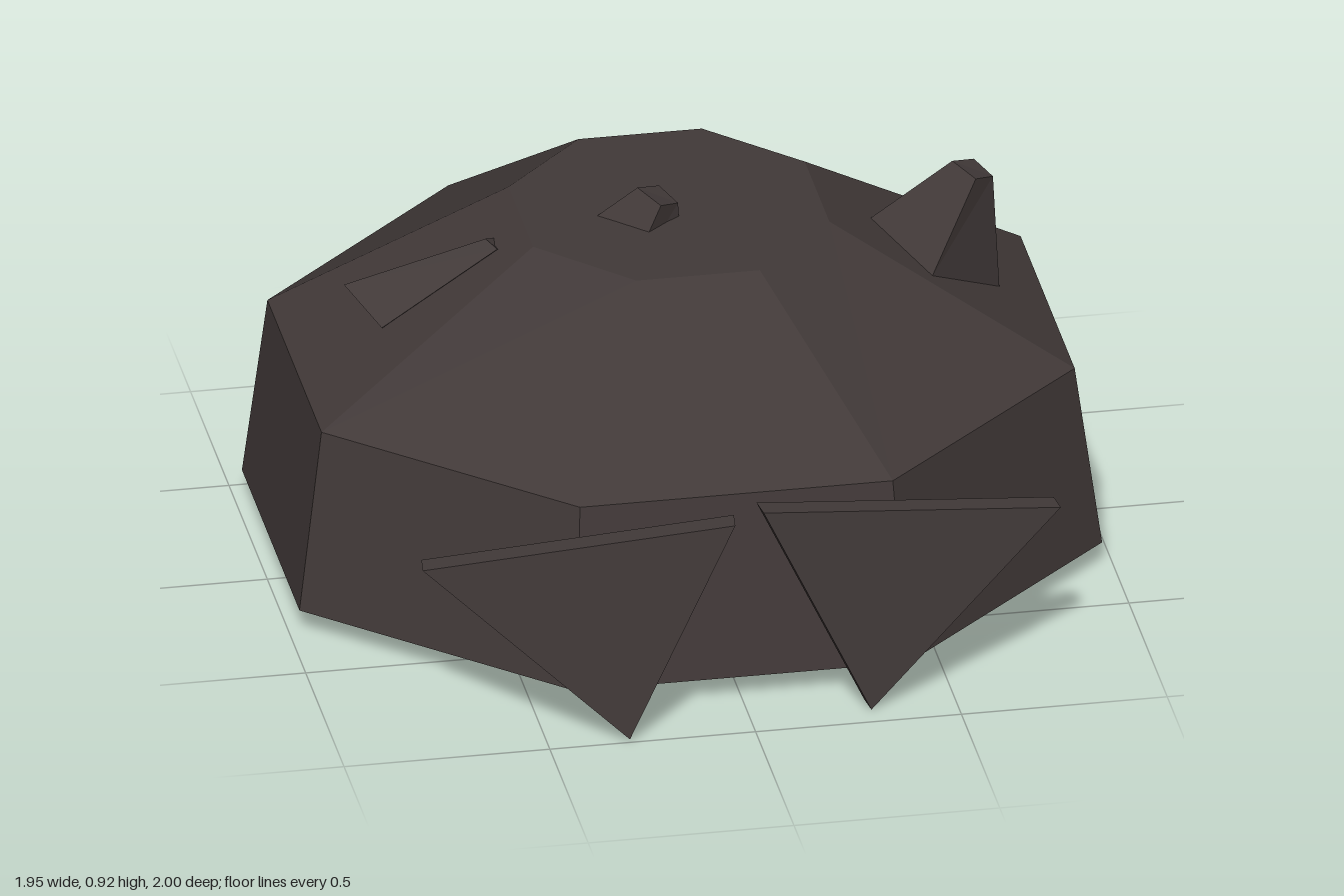
import * as THREE from 'three';

// Closed faceted solid through rings of equal size, counterclockwise seen from the last ring
function loft(rings) {
  const pos = [];
  const tri = (a, b, c) => pos.push(...a, ...b, ...c);
  const n = rings[0].length;
  for (let r = 0; r < rings.length - 1; r++) {
    const a = rings[r], b = rings[r + 1];
    for (let i = 0; i < n; i++) {
      const j = (i + 1) % n;
      tri(a[i], a[j], b[j]);
      tri(a[i], b[j], b[i]);
    }
  }
  const first = rings[0], last = rings[rings.length - 1];
  for (let i = 1; i < n - 1; i++) {
    tri(first[0], first[i + 1], first[i]);
    tri(last[0], last[i], last[i + 1]);
  }
  const g = new THREE.BufferGeometry();
  g.setAttribute('position', new THREE.Float32BufferAttribute(pos, 3));
  g.computeVertexNormals();
  return g;
}

// Octagonal ring: half width, corner half width, front/back z and side-corner z
function octagon(y, w, cx, front, sideFront, sideBack, back) {
  return [
    [w, y, sideFront], [w, y, sideBack], [cx, y, back], [-cx, y, back],
    [-w, y, sideBack], [-w, y, sideFront], [-cx, y, front], [cx, y, front],
  ];
}

export function createModel() {
  const group = new THREE.Group();
  const darkStone = new THREE.MeshStandardMaterial({ color: 0x413938, flatShading: true });
  darkStone.name = 'darkStone';
  const add = (name, geometry, x = 0) => {
    const mesh = new THREE.Mesh(geometry, darkStone);
    mesh.name = name;
    mesh.position.x = x;
    group.add(mesh);
  };

  // Faceted dome
  add('domeBody', loft([
    octagon(0.06, 0.975, 0.405, 0.82, 0.285, -0.465, -1.0),
    octagon(0.515, 0.915, 0.38, 0.75, 0.25, -0.455, -0.967),
    octagon(0.85, 0.36, 0.15, 0.25, 0.03, -0.29, -0.505),
  ]));

  // Blunt four-sided spikes, one on the slope and one sunk into the top
  const spike = loft([
    [[0.485, 0.77, -0.12], [0.6, 0.7, 0.075], [0.79, 0.585, -0.06], [0.655, 0.67, -0.285]],
    [[0.68, 0.925, -0.085], [0.725, 0.905, -0.02], [0.775, 0.885, -0.065], [0.74, 0.905, -0.125]],
  ]);
  add('leftSpike', spike);
  add('topSpike', spike, -0.765);

  // Spike lying against the opposite slope
  add('rightSpike', loft([
    [[-0.785, 0.695, -0.155], [-0.717, 0.637, -0.027], [-0.63, 0.57, -0.09], [-0.7, 0.645, -0.225]],
    [[-0.455, 0.825, -0.08], [-0.432, 0.81, -0.05], [-0.415, 0.79, -0.08], [-0.43, 0.81, -0.11]],
  ]));

  // Triangular front plates, given a front face and a shift to the back face
  const plate = (name, face, dx) => add(name, loft([
    face.map(([x, y, z]) => [x + dx, y, z - 0.057]), face,
  ]));
  plate('rightPlate', [[-0.787, 0.45, 0.884], [-0.305, 0.01, 0.998], [-0.045, 0.548, 0.977]], 0.007);
  plate('leftPlate', [[0.035, 0.545, 0.918], [0.293, 0.003, 0.937], [0.774, 0.445, 0.826]], -0.007);

  return group;
}
